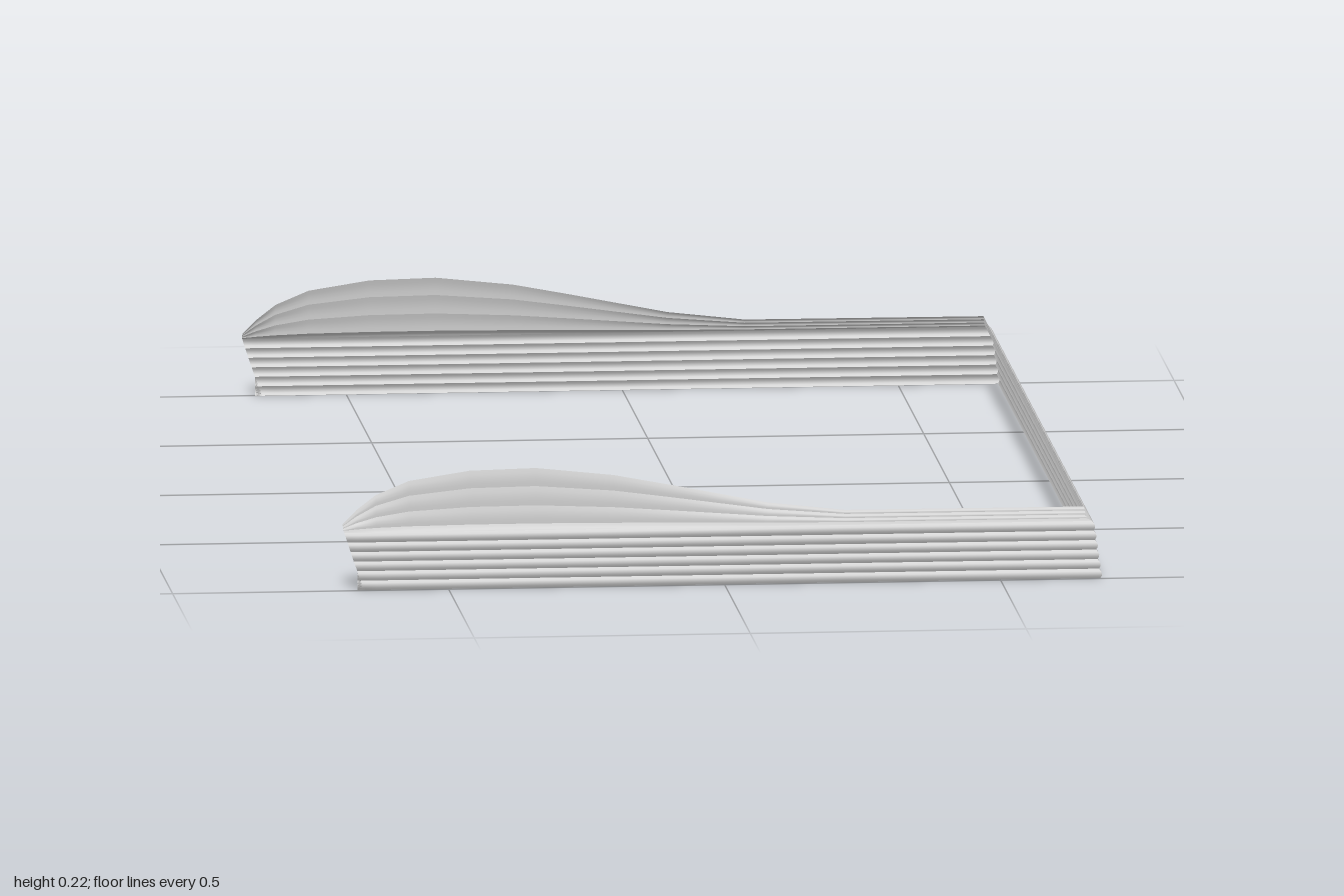
import * as THREE from 'three';

const material = new THREE.MeshStandardMaterial({ color: 0xcccccc, side: THREE.DoubleSide });
const SEGMENTS = 4;
const lerp = THREE.MathUtils.lerp;

// crest line of the side skirts: x and height
const crest = [
  [-0.69, 0.118], [-0.665, 0.143], [-0.63, 0.17], [-0.57, 0.195], [-0.46, 0.212], [-0.34, 0.215],
  [-0.2, 0.2], [-0.1, 0.181], [0, 0.161], [0.08, 0.145], [0.22, 0.129], [0.655, 0.128],
];

// joints between ribs: corner x and z, and height as a function of the crest
const joints = [];
for (let i = 0; i <= 6; i++) joints.push({ x: 0.681 - 0.0025 * i, z: 0.996, y: () => 0.0175 * i });
const lip = [[0.656, 0.987, 0.08], [0.654, 0.983, 0.38], [0.653, 0.979, 0.7], [0.652, 0.975, 1]];
for (const [x, z, k] of lip) joints.push({ x, z, y: (top) => lerp(0.107, top, k) });

// grid surface from point(row, column)
function grid(rows, cols, point) {
  const positions = [], index = [];
  for (let r = 0; r < rows; r++) {
    for (let c = 0; c < cols; c++) {
      positions.push(...point(r, c));
      if (r < rows - 1 && c < cols - 1) {
        const a = r * cols + c, d = a + cols;
        index.push(a, a + 1, d, a + 1, d + 1, d);
      }
    }
  }
  const geometry = new THREE.BufferGeometry();
  geometry.setAttribute('position', new THREE.Float32BufferAttribute(positions, 3));
  geometry.setIndex(index);
  geometry.computeVertexNormals();
  return geometry;
}

// point across one gently bulging rib
function ribPoint(i, r, top) {
  const a = joints[i], b = joints[i + 1], s = r / SEGMENTS;
  const bulge = (i < 6 ? 0.004 : 0.0015) * Math.sin(Math.PI * s);
  return {
    x: lerp(a.x, b.x, s) + bulge,
    y: lerp(a.y(top), b.y(top), s),
    z: lerp(a.z, b.z, s) + bulge,
  };
}

// slanted free end of the side skirts
const endX = (y) => -0.65 - 0.04 * Math.pow(Math.min(1, y / 0.11), 0.85);

function sideRib(i) {
  return grid(SEGMENTS + 1, crest.length, (r, c) => {
    const [x, top] = crest[c];
    const p = ribPoint(i, r, top);
    if (c === 0) return [endX(p.y), p.y, p.z];
    return [c === crest.length - 1 ? p.x : x, p.y, p.z];
  });
}

function crossRib(i) {
  return grid(SEGMENTS + 1, 2, (r, c) => {
    const p = ribPoint(i, r, 0.128);
    return [p.x, p.y, c ? -p.z : p.z];
  });
}

export function createModel() {
  const model = new THREE.Group();
  model.name = 'ribbedSkirt';
  const front = new THREE.Group(), back = new THREE.Group(), cross = new THREE.Group();
  front.name = 'frontSkirt';
  back.name = 'backSkirt';
  cross.name = 'crossSkirt';
  for (let i = 0; i < joints.length - 1; i++) {
    const name = i < 6 ? 'rib' : 'raisedLip';
    const side = new THREE.Mesh(sideRib(i), material);
    const bar = new THREE.Mesh(crossRib(i), material);
    side.name = bar.name = name + (i + 1);
    front.add(side);
    back.add(side.clone());
    cross.add(bar);
  }
  back.scale.z = -1;
  model.add(front, back, cross);
  return model;
}
